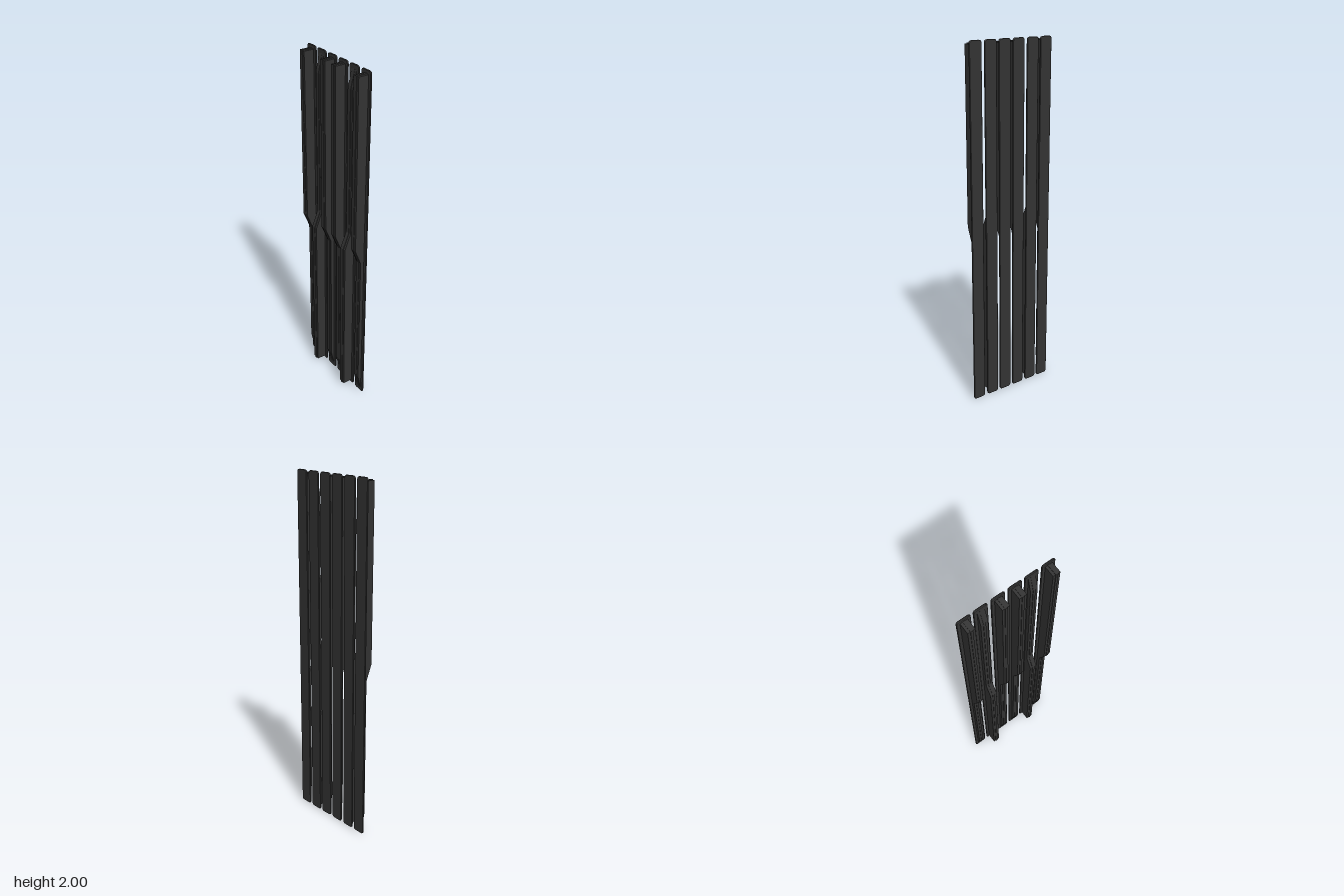
import * as THREE from 'three';

const material = new THREE.MeshStandardMaterial({ color: 0x333333, flatShading: true });

// Tall plate with rounded, slightly bevelled corners, lying in the zy plane
function plateGeometry(width, height, thickness, radius, bevel) {
  const w = width / 2 - bevel, h = height / 2 - bevel, r = radius;
  const s = new THREE.Shape();
  s.moveTo(-w + r, -h);
  s.lineTo(w - r, -h);
  s.quadraticCurveTo(w, -h, w, -h + r);
  s.lineTo(w, h - r);
  s.quadraticCurveTo(w, h, w - r, h);
  s.lineTo(-w + r, h);
  s.quadraticCurveTo(-w, h, -w, h - r);
  s.lineTo(-w, -h + r);
  s.quadraticCurveTo(-w, -h, -w + r, -h);
  const g = new THREE.ExtrudeGeometry(s, {
    depth: thickness - 2 * bevel, curveSegments: 5,
    bevelEnabled: true, bevelSize: bevel, bevelThickness: bevel, bevelSegments: 1,
  });
  return g.center().rotateY(Math.PI / 2);
}

// Stepped rib: deep upper half, ramp, shallow lower half, ramp out at the end
function ribGeometry(width, grow) {
  const profile = [
    [0.026, -0.98 - grow], [0.026, 0.98 + grow], [-0.032 - grow, 0.98 + grow],
    [-0.032 - grow, 0.02], [0.004 - grow, -0.07], [0.004 - grow, -0.88],
  ].map(([x, y]) => new THREE.Vector2(x, y));
  return new THREE.ExtrudeGeometry(new THREE.Shape(profile), { depth: width, bevelEnabled: false })
    .translate(0, 0, -width / 2);
}

export function createModel() {
  const model = new THREE.Group();
  model.name = 'slatPanel';
  const plate = plateGeometry(0.075, 2, 0.009, 0.015, 0.002).translate(0.0295, 0, 0);
  const rib = ribGeometry(0.04, 0);
  const ridge = ribGeometry(0.013, 0.003);

  // Six slats, the second from each side turned end for end
  const centres = [-0.229, -0.14, -0.047, 0.044, 0.134, 0.227];
  centres.forEach((z, i) => {
    const slat = new THREE.Group();
    slat.name = `slat${i + 1}`;
    for (const [name, geometry] of [['facePlate', plate], ['rib', rib], ['ribRidge', ridge]]) {
      const mesh = new THREE.Mesh(geometry, material);
      mesh.name = name;
      slat.add(mesh);
    }
    slat.position.set(0.001, 1, z);
    if (i === 1 || i === 4) slat.rotation.x = Math.PI;
    model.add(slat);
  });
  return model;
}
